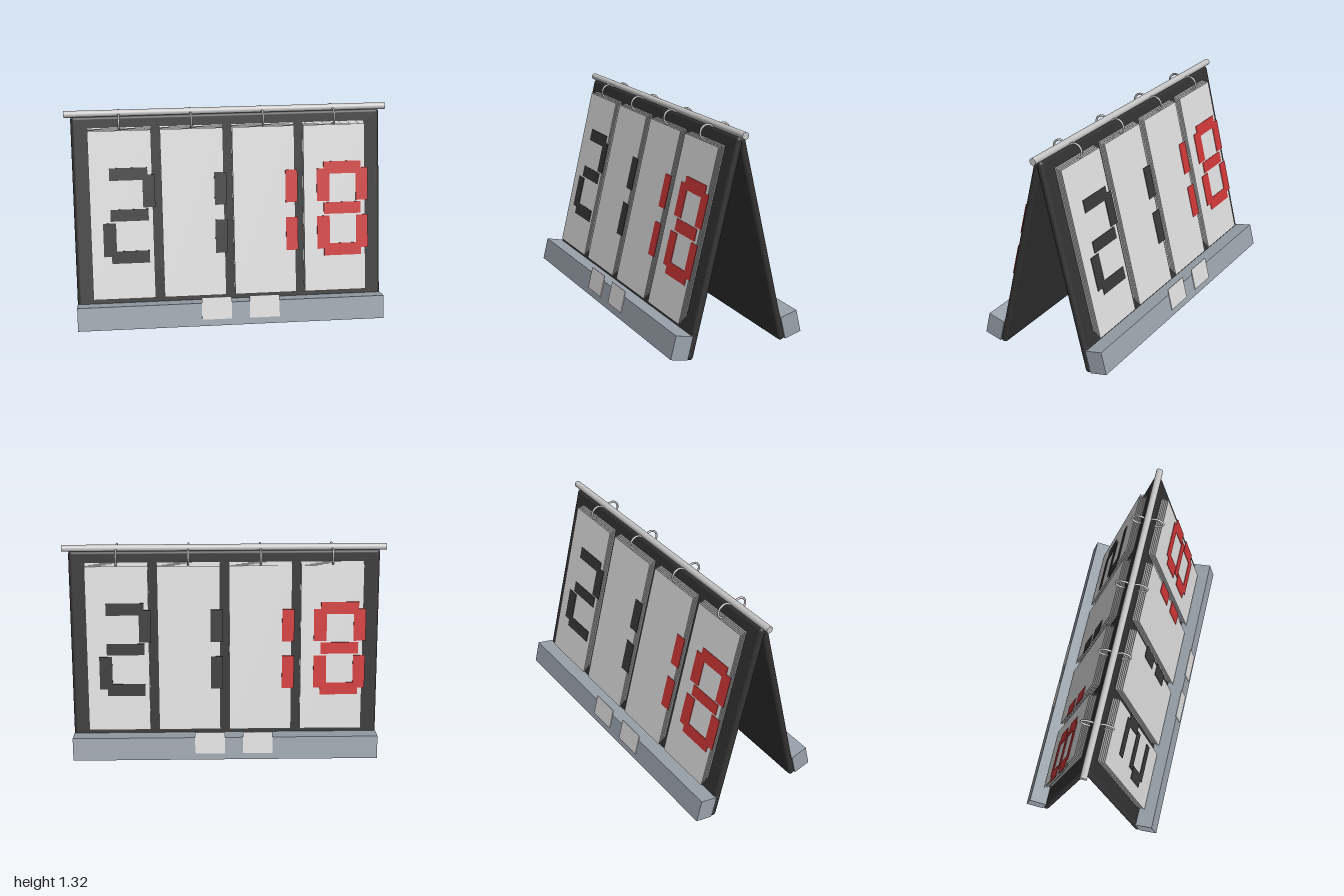
import * as THREE from 'three';
import { RoundedBoxGeometry } from 'three/addons/geometries/RoundedBoxGeometry.js';

const mat = (name, color) => {
  const m = new THREE.MeshStandardMaterial({ color });
  m.name = name;
  return m;
};

export function createModel() {
  const boardBlack = mat('board black', 0x323232);
  const digitBlack = mat('digit black', 0x383838);
  const digitRed = mat('digit red', 0xcc3636);
  const pageWhite = mat('page white', 0xdcdcdc);
  const trayGrey = mat('tray grey', 0x9aa3ac);
  const metal = mat('metal', 0xc4c4c4);

  const TILT = 0.24, PIVOT = 1.296;
  const columns = [-0.665, -0.222, 0.222, 0.665];

  function mesh(parent, name, geometry, material, x = 0, y = 0, z = 0) {
    const m = new THREE.Mesh(geometry, material);
    m.name = name;
    m.position.set(x, y, z);
    parent.add(m);
    return m;
  }

  // Box given by its extents, in the tilted frame of one leaf
  function slab(parent, name, material, x0, x1, y0, y1, z0, z1) {
    return mesh(parent, name, new THREE.BoxGeometry(x1 - x0, y1 - y0, z1 - z0), material,
      (x0 + x1) / 2, (y0 + y1) / 2, (z0 + z1) / 2);
  }

  // Segment rows: bottom and top heights above the floor
  const rows = {
    top: [0.917, 0.992], upper: [0.751, 0.949], middle: [0.671, 0.742],
    lower: [0.457, 0.66], bottom: [0.414, 0.489],
  };
  const slope = (y) => (y - 1.3124) / Math.cos(TILT);

  // Lit segments: left edge, right edge, rows
  const digits = [
    ['leftDigitTwo', digitBlack, [
      [-0.735, -0.5, ['top', 'middle', 'bottom']],
      [-0.532, -0.457, ['upper']],
      [-0.783, -0.703, ['lower']]]],
    ['leftDigitOne', digitBlack, [[-0.088, -0.013, ['upper', 'lower']]]],
    ['rightDigitOne', digitRed, [[0.356, 0.431, ['upper', 'lower']]]],
    ['rightDigitEight', digitRed, [
      [0.596, 0.831, ['top', 'middle', 'bottom']],
      [0.553, 0.633, ['upper', 'lower']],
      [0.8, 0.875, ['upper', 'lower']]]],
  ];

  function buildLeaf(name) {
    const leaf = new THREE.Group();
    leaf.name = name;
    const tilted = new THREE.Group();
    tilted.name = 'tiltedBoard';
    tilted.position.y = PIVOT;
    tilted.rotation.x = -TILT;
    leaf.add(tilted);

    // Backing board and bottom tray
    mesh(tilted, 'board', new RoundedBoxGeometry(1.92, 1.322, 0.044, 4, 0.021), boardBlack, 0, -0.672, 0);
    slab(tilted, 'tray', trayGrey, -0.96, 0.96, -1.33, -1.184, 0.018, 0.131);

    // Two tabs on the front of the tray
    for (const x of [-0.19, 0.11]) {
      slab(tilted, 'tab', pageWhite, x, x + 0.187, -1.288, -1.148, 0.132, 0.137);
    }

    // Stacks of flip pages, stepped outwards and downwards
    for (const x of columns) {
      for (let i = 0; i < 5; i++) {
        const t = i / 4, z = 0.028 + t * 0.0375;
        slab(tilted, 'page', pageWhite, x - 0.194, x + 0.194,
          -1.108 - t * 0.042, -0.083 - t * 0.017, z - 0.0014, z + 0.0014);
      }
    }

    // Segmented digits on the outer pages
    for (const [digitName, material, parts] of digits) {
      const digit = new THREE.Group();
      digit.name = digitName;
      tilted.add(digit);
      for (const [x0, x1, names] of parts) {
        for (const row of names) {
          const [y0, y1] = rows[row];
          slab(digit, row + 'Segment', material, x0, x1, slope(y0), slope(y1), 0.067, 0.0705);
        }
      }
    }

    // Binder rings
    for (const x of columns) {
      const ring = mesh(leaf, 'ring', new THREE.TorusGeometry(0.046, 0.0065, 10, 32), metal, x, 1.256, 0.051);
      ring.rotation.y = Math.PI / 2;
    }
    return leaf;
  }

  const model = new THREE.Group();
  model.name = 'flipScoreboard';
  const front = buildLeaf('frontLeaf');
  const back = buildLeaf('backLeaf');
  back.rotation.y = Math.PI;
  model.add(front, back);

  // Top rod
  const rod = mesh(model, 'topRod', new THREE.CylinderGeometry(0.021, 0.021, 2, 24), metal, 0, 1.3, 0);
  rod.rotation.z = Math.PI / 2;

  return model;
}
